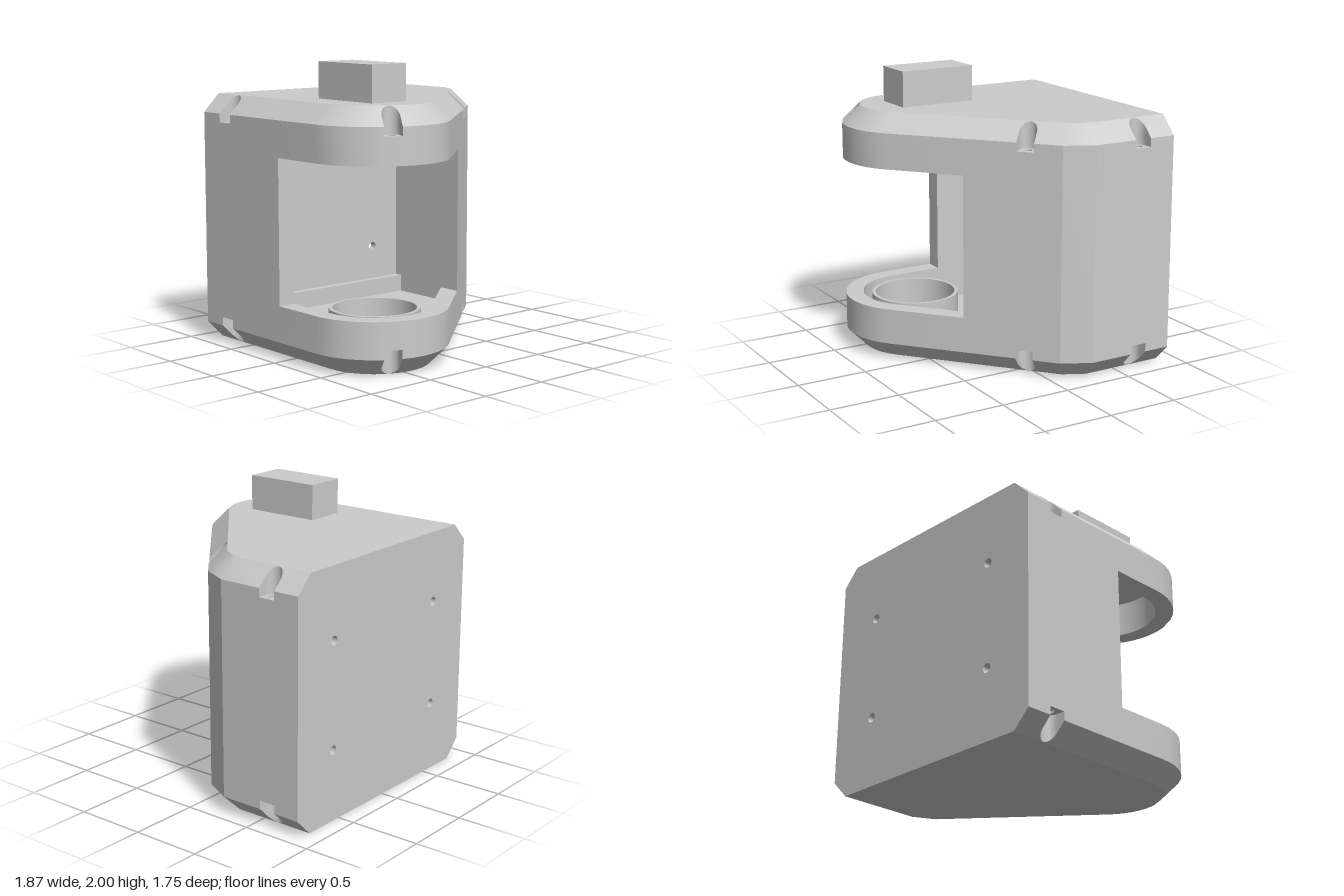
import * as THREE from 'three';
import { mergeGeometries, toCreasedNormals } from 'three/addons/utils/BufferGeometryUtils.js';

const H = 1.75, INSET = 0.125, BACK = -0.82, NOTCH_R = 0.061;
const LOBE = { x: -0.435, z: 0.375, r: 0.5 };
const V = (x, z) => new THREE.Vector2(x, z); // plan point: x, z
const at = (p, q, k) => p.clone().addScaledVector(q, k);

// Plan outline, from the back of the left-hand wall round the lobe to the other wall
function makeOutline() {
  const pts = [V(-0.935, BACK), V(-0.935, -0.02)];
  const arc = (from, to, n) => {
    for (let i = 0; i <= n; i++) {
      const a = THREE.MathUtils.degToRad(from + (to - from) * i / n);
      pts.push(V(LOBE.x + LOBE.r * Math.cos(a), LOBE.z + LOBE.r * Math.sin(a)));
    }
  };
  arc(180, 124.6, 7);
  arc(108.6, 49.5, 7);
  const cut = pts.length;
  pts.push(V(0.31, 0.397), V(0.835, -0.05), V(0.935, -0.25), V(0.935, BACK));
  return { pts, cut };
}

const { pts: OUTER, cut: CUT } = makeOutline();
const NOTCHES = [V(-0.8725, -0.625), V(0.8725, -0.625), V(0.6, 0.07), V(-0.631, 0.765)];

// Edges with their direction u, inward normal n and the notch they carry, if any
const EDGES = OUTER.slice(0, -1).map((a, i) => {
  const b = OUTER[i + 1], u = b.clone().sub(a).normalize(), n = V(u.y, -u.x);
  const edge = { a, b, u, n, notch: [] };
  for (const c of NOTCHES) {
    const s = c.clone().sub(a).dot(u), d = c.clone().sub(a).dot(n);
    if (s < 0.062 || s > a.distanceTo(b) - 0.062 || d < 0.03 || d > 0.09) continue;
    const m = at(a, u, s), mid = at(m, n, 0.0625);
    edge.notch.push(at(m, u, -NOTCH_R));
    for (let k = 0; k <= 12; k++) {
      const t = Math.PI * (1 - k / 12);
      edge.notch.push(at(at(mid, u, NOTCH_R * Math.cos(t)), n, NOTCH_R * Math.sin(t)));
    }
    edge.notch.push(at(m, u, NOTCH_R));
  }
  return edge;
});

// Outline moved inwards by the wall thickness, with mitred corners
const INNER = OUTER.map((p, i) => {
  const n1 = (EDGES[i - 1] || EDGES[i]).n, n2 = (EDGES[i] || EDGES[i - 1]).n;
  return at(p, n1.clone().add(n2), INSET / (1 + n1.dot(n2)));
});

const toShape = pts => new THREE.Shape(pts.map(p => V(p.x, -p.y)));
const clean = geo => {
  const g = geo.index ? geo.toNonIndexed() : geo;
  g.deleteAttribute('uv');
  return g;
};

function slab(pts, y0, y1, holes = []) {
  const s = toShape(pts);
  for (const c of holes) s.holes.push(new THREE.Path().absarc(c.x, -c.y, 0.03, 0, Math.PI * 2, true));
  const g = new THREE.ExtrudeGeometry(s, { depth: y1 - y0, bevelEnabled: false, curveSegments: 10 });
  return clean(g.rotateX(-Math.PI / 2).translate(0, y0, 0));
}

function sheet(pts, y) {
  return clean(new THREE.ShapeGeometry(toShape(pts)).rotateX(-Math.PI / 2).translate(0, y, 0));
}

// Bevelled strip over one edge, rising inwards, with the notch sides below it
function bevel(e, i) {
  const y0 = H - INSET, rise = (x, z) => y0 + V(x, z).sub(e.a).dot(e.n);
  const strip = sheet([e.a, ...e.notch, e.b, INNER[i + 1], INNER[i]], 0);
  const pos = strip.attributes.position;
  for (let k = 0; k < pos.count; k++) pos.setY(k, rise(pos.getX(k), pos.getZ(k)));
  strip.computeVertexNormals();
  const out = [strip], side = [];
  for (let k = 0; k + 1 < e.notch.length; k++) {
    const p = e.notch[k], q = e.notch[k + 1], yp = rise(p.x, p.y), yq = rise(q.x, q.y);
    side.push(p.x, y0, p.y, q.x, y0, q.y, q.x, yq, q.y, p.x, y0, p.y, q.x, yq, q.y, p.x, yp, p.y);
  }
  if (side.length) {
    const g = new THREE.BufferGeometry();
    g.setAttribute('position', new THREE.Float32BufferAttribute(side, 3));
    g.computeVertexNormals();
    out.push(g);
  }
  return out;
}

// Mirror top to bottom, turning each triangle round again
function mirrorY(geo) {
  const g = geo.clone(), p = g.attributes.position, src = geo.attributes.position;
  for (let k = 0; k < p.count; k++) {
    const j = k - (k % 3) + (2 - (k % 3));
    p.setXYZ(k, src.getX(j), H - src.getY(j), src.getZ(j));
  }
  g.computeVertexNormals();
  return g;
}

export function createModel() {
  const group = new THREE.Group();
  const solid = new THREE.MeshStandardMaterial({ color: 0xcccccc });
  const open = new THREE.MeshStandardMaterial({ color: 0xcccccc, side: THREE.DoubleSide });
  const add = (name, geo, mat = solid) => {
    const m = new THREE.Mesh(geo, mat);
    m.name = name;
    group.add(m);
    return m;
  };

  // Top cover, and the same again as the base
  const inside = [...INNER].reverse();
  const notched = EDGES.flatMap(e => [e.a, ...e.notch]).concat(OUTER[OUTER.length - 1]);
  const cover = mergeGeometries([
    sheet(INNER, H),
    sheet(INNER, H - INSET),
    ...EDGES.flatMap(bevel),
    slab([...notched, ...inside], 1.565, 1.625),
    slab([...OUTER, ...inside], 1.5, 1.565, NOTCHES),
    slab([...OUTER, ...inside], 1.375, 1.5),
  ]);
  add('topCover', toCreasedNormals(cover, 0.35), open);
  add('base', toCreasedNormals(mirrorY(cover), 0.35), open);

  // Side walls beside the front opening
  add('shortSideWall', slab([OUTER[0], OUTER[1], INNER[1], INNER[0]], 0.375, 1.375));
  const innerEnd = V(0.31, OUTER[CUT].y - INSET / EDGES[CUT].n.length() / Math.abs(EDGES[CUT].n.y));
  const longWall = [...OUTER.slice(CUT), ...INNER.slice(CUT + 1).reverse(), innerEnd];
  add('slantedSideWall', slab(longWall, 0.375, 1.375));

  // Back plate with four mounting holes
  const plate = new THREE.Shape([
    V(-0.81, 0), V(0.81, 0), V(0.935, 0.125), V(0.935, 1.625),
    V(0.81, H), V(-0.81, H), V(-0.935, 1.625), V(-0.935, 0.125),
  ]);
  for (const x of [-0.565, 0.565]) for (const y of [0.5, 1.25])
    plate.holes.push(new THREE.Path().absarc(x, y, 0.033, 0, Math.PI * 2, true));
  add('backPlate', new THREE.ExtrudeGeometry(plate, { depth: 0.055, bevelEnabled: false })
    .translate(0, 0, -0.875));

  // Ledges along the back plate, and screws in the notches
  for (const top of [false, true]) {
    const flip = y => (top ? H - y : y);
    add('ledge', new THREE.BoxGeometry(1.62, 0.125, 0.06)).position.set(0, flip(0.1875), -0.79);
    for (const c of NOTCHES)
      add('screw', new THREE.CylinderGeometry(0.016, 0.016, 0.06, 12)).position.set(c.x, flip(0.222), c.y);
  }

  // Round cup standing in the lobe
  const cup = [[0.285, 0.125], [0.31, 0.125], [0.31, 0.365], [0.285, 0.365], [0.285, 0.125]];
  add('cupRing', toCreasedNormals(
    new THREE.LatheGeometry(cup.map(([r, y]) => V(r, y)), 48), 0.5), open)
    .position.set(LOBE.x, 0, LOBE.z);

  // Block on the top cover
  add('topBlock', new THREE.BoxGeometry(0.295, 0.25, 0.55)).position.set(-0.4375, 1.875, 0.25);
  return group;
}
